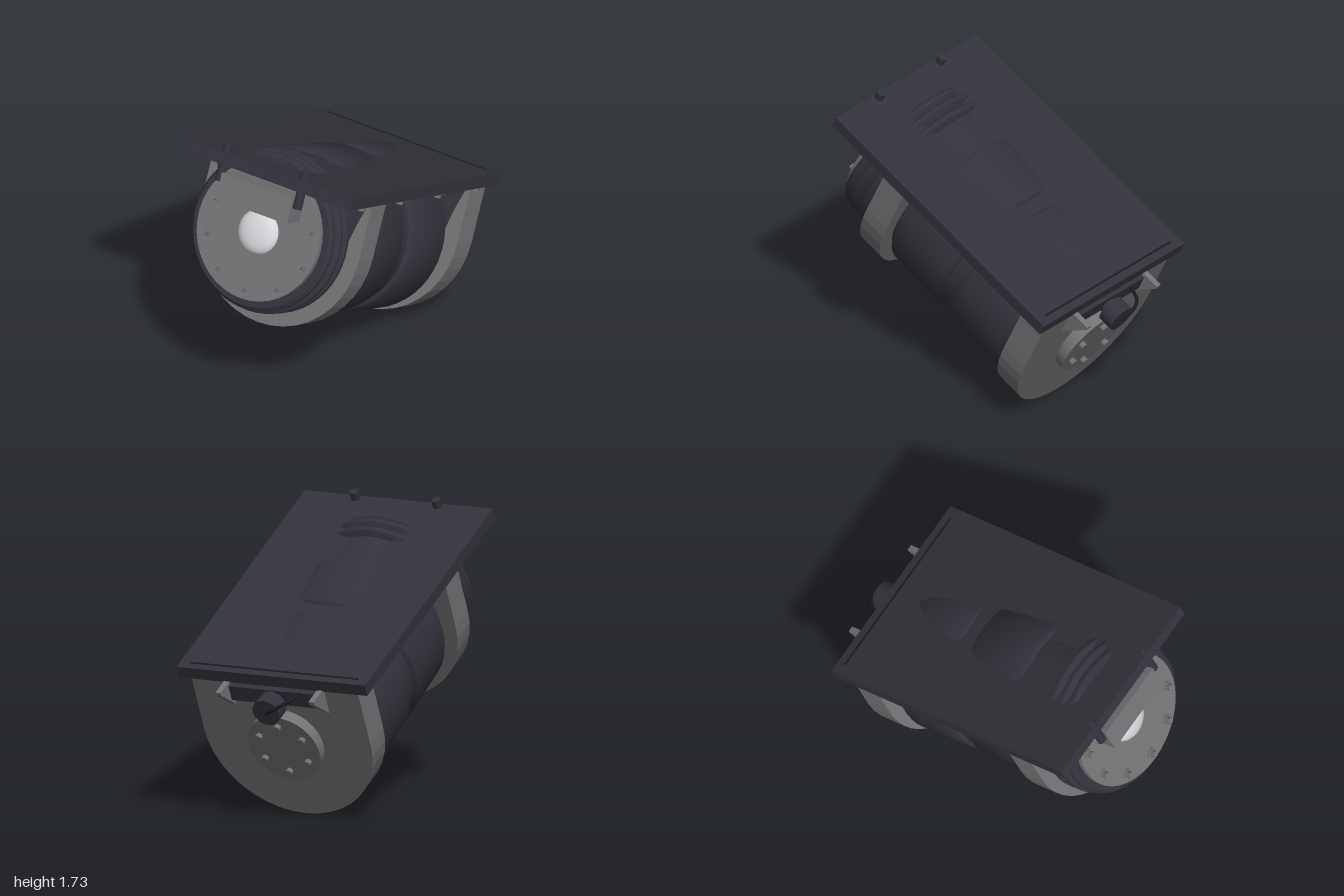
import * as THREE from 'three';
import { toCreasedNormals } from 'three/addons/utils/BufferGeometryUtils.js';

const mat = (name, color, side = THREE.FrontSide) => {
  const m = new THREE.MeshStandardMaterial({ color, side });
  m.name = name;
  return m;
};

export function createModel() {
  const dark = mat('charcoal', 0x32323b);
  const grey = mat('steel grey', 0x727274);
  const white = mat('off white', 0xd6d6da);
  const black = mat('black', 0x1a1a20);

  const add = (parent, name, geo, material, x = 0, y = 0, z = 0) => {
    const m = new THREE.Mesh(geo, material);
    m.name = name;
    m.position.set(x, y, z);
    parent.add(m);
    return m;
  };
  // solid of revolution around z, from [radius, z] pairs
  const lathe = (pts, n) => toCreasedNormals(
    new THREE.LatheGeometry(pts.map(p => new THREE.Vector2(p[0], p[1])), n).rotateX(Math.PI / 2), 0.6);
  const rodZ = (r, len, n) => new THREE.CylinderGeometry(r, r, len, n).rotateX(Math.PI / 2);

  const root = new THREE.Group();
  root.name = 'motorUnit';
  // everything is built under a pitched and turned mounting plate, its top at y = 0
  const unit = new THREE.Group();
  unit.name = 'tiltedUnit';
  unit.position.set(-0.005, 1.295, -0.07);
  unit.rotation.set(-0.445, 0.153, 0, 'YXZ');
  root.add(unit);

  // mounting plate with a slot near the back edge
  add(unit, 'mountingPlate', new THREE.BoxGeometry(1.255, 0.075, 1.82), dark, 0, -0.0375, 0);
  add(unit, 'plateSlot', new THREE.BoxGeometry(1.12, 0.004, 0.012), black, 0, 0.001, -0.855);

  // plate bolts on the underside
  for (const side of [-1, 1]) {
    for (const z of [0.633, 0.169, -0.295, -0.76]) {
      add(unit, 'boltWasher', new THREE.CylinderGeometry(0.045, 0.045, 0.016, 16), grey, side * 0.56, -0.082, z);
      add(unit, 'boltHead', new THREE.CylinderGeometry(0.026, 0.026, 0.03, 6), grey, side * 0.56, -0.103, z);
    }
  }

  // U-shaped saddle brackets with dark corner webs
  const R = 0.555, cy = -0.455;
  const u = new THREE.Shape();
  u.moveTo(R, -0.06);
  u.lineTo(-R, -0.06);
  u.lineTo(-R, cy);
  u.absarc(0, cy, R, Math.PI, Math.PI * 2, false);
  u.closePath();
  for (const [name, z0, depth] of [['frontBracket', 0.32, 0.172], ['rearBracket', -0.89, 0.18]]) {
    const g = new THREE.ExtrudeGeometry(u, { depth, bevelEnabled: false, curveSegments: 10 });
    add(unit, name, g, grey, 0, 0, z0);
    for (const s of [-1, 1]) {
      const web = new THREE.Shape();
      web.moveTo(s * 0.545, -0.07);
      web.lineTo(s * 0.2, -0.07);
      web.lineTo(s * 0.44, -0.46);
      web.quadraticCurveTo(s * 0.475, -0.24, s * 0.545, -0.07);
      add(unit, 'bracketCornerWeb',
        new THREE.ExtrudeGeometry(web, { depth: 0.006, bevelEnabled: false, curveSegments: 6 }), dark, 0, 0, z0 + depth);
    }
  }

  // motor, its axis pitched slightly against the plate
  const motor = new THREE.Group();
  motor.name = 'motor';
  motor.position.y = -0.463;
  motor.rotation.x = -0.055;
  unit.add(motor);

  add(motor, 'motorBody', lathe([
    [0, -0.75], [0.46, -0.75], [0.46, -0.685], [0.485, -0.675], [0.5, -0.645], [0.5, -0.26], [0.49, -0.245],
    [0.472, -0.235], [0.472, -0.15], [0.49, -0.14], [0.5, -0.125], [0.5, 0.25], [0.488, 0.28], [0.46, 0.29],
    [0.46, 0.4], [0, 0.4],
  ], 48), dark);

  // ribbed front collar
  const ribs = [[0, 0.4], [0.455, 0.4], [0.455, 0.525]];
  for (const [w, r] of [[0.56, 0.492], [0.635, 0.492], [0.7, 0.475]]) {
    ribs.push([r - 0.012, w - 0.024], [r, w - 0.012], [r, w + 0.012], [r - 0.012, w + 0.024], [0.455, w + 0.032]);
  }
  ribs.push([0, 0.732]);
  add(motor, 'ribbedCollar', lathe(ribs, 48), dark);

  // front cover with bolts and a low domed hub
  add(motor, 'frontCover', toCreasedNormals(rodZ(0.415, 0.045, 40), 0.6), grey, 0, 0, 0.742);
  for (let i = 0; i < 10; i++) {
    const a = -Math.PI / 2 + i * Math.PI / 5;
    const x = 0.352 * Math.cos(a), y = 0.352 * Math.sin(a);
    add(motor, 'coverBoltWasher', rodZ(0.03, 0.012, 14), grey, x, y, 0.77);
    add(motor, 'coverBolt', rodZ(0.021, 0.036, 6), grey, x, y, 0.785);
  }
  add(motor, 'hubDome', lathe([
    [0.137, 0.755], [0.133, 0.772], [0.115, 0.79], [0.085, 0.803], [0.045, 0.811], [0, 0.813],
  ], 32), white);

  // rear cover with six bolts
  add(motor, 'rearCover', toCreasedNormals(rodZ(0.235, 0.08, 32), 0.6), grey, 0, 0.02, -0.915);
  for (let i = 0; i < 6; i++) {
    const a = Math.PI / 6 + i * Math.PI / 3;
    add(motor, 'rearCoverBolt', rodZ(0.024, 0.04, 6), grey,
      0.165 * Math.cos(a), 0.02 + 0.165 * Math.sin(a), -0.965);
  }

  // front block and its two clamp rods
  add(unit, 'frontBlock', new THREE.BoxGeometry(0.5, 0.16, 0.15), grey, 0, -0.2, 0.845);
  for (const s of [-1, 1]) {
    add(unit, 'clampRod', new THREE.CylinderGeometry(0.029, 0.029, 0.23, 8), dark, s * 0.272, -0.065, 0.88);
  }

  // rear gussets, cross bar, knob and cord
  const fin = new THREE.Shape();
  fin.moveTo(0.87, -0.07);
  fin.lineTo(0.87, -0.27);
  fin.lineTo(1.03, -0.09);
  fin.lineTo(1.03, -0.07);
  fin.closePath();
  for (const s of [-1, 1]) {
    const g = new THREE.ExtrudeGeometry(fin, { depth: 0.036, bevelEnabled: false });
    g.rotateY(Math.PI / 2); // shape x now points to -z
    add(unit, 'rearGusset', g, grey, s * 0.31 - 0.018, 0, 0);
  }
  add(unit, 'rearCrossBar', new THREE.BoxGeometry(0.6, 0.1, 0.06), dark, 0, -0.14, -0.9);
  add(unit, 'knob', toCreasedNormals(rodZ(0.088, 0.1, 20), 0.6), dark, 0, -0.165, -1.005);
  add(unit, 'knobStem', rodZ(0.05, 0.1, 12), dark, 0, -0.165, -0.94);
  const cord = new THREE.CatmullRomCurve3([
    new THREE.Vector3(0, -0.165, -1.06), new THREE.Vector3(-0.06, -0.13, -1.062),
    new THREE.Vector3(-0.13, -0.1, -1.03), new THREE.Vector3(-0.18, -0.1, -0.92),
  ]);
  add(unit, 'cord', new THREE.TubeGeometry(cord, 16, 0.011, 8), black);

  return root;
}
